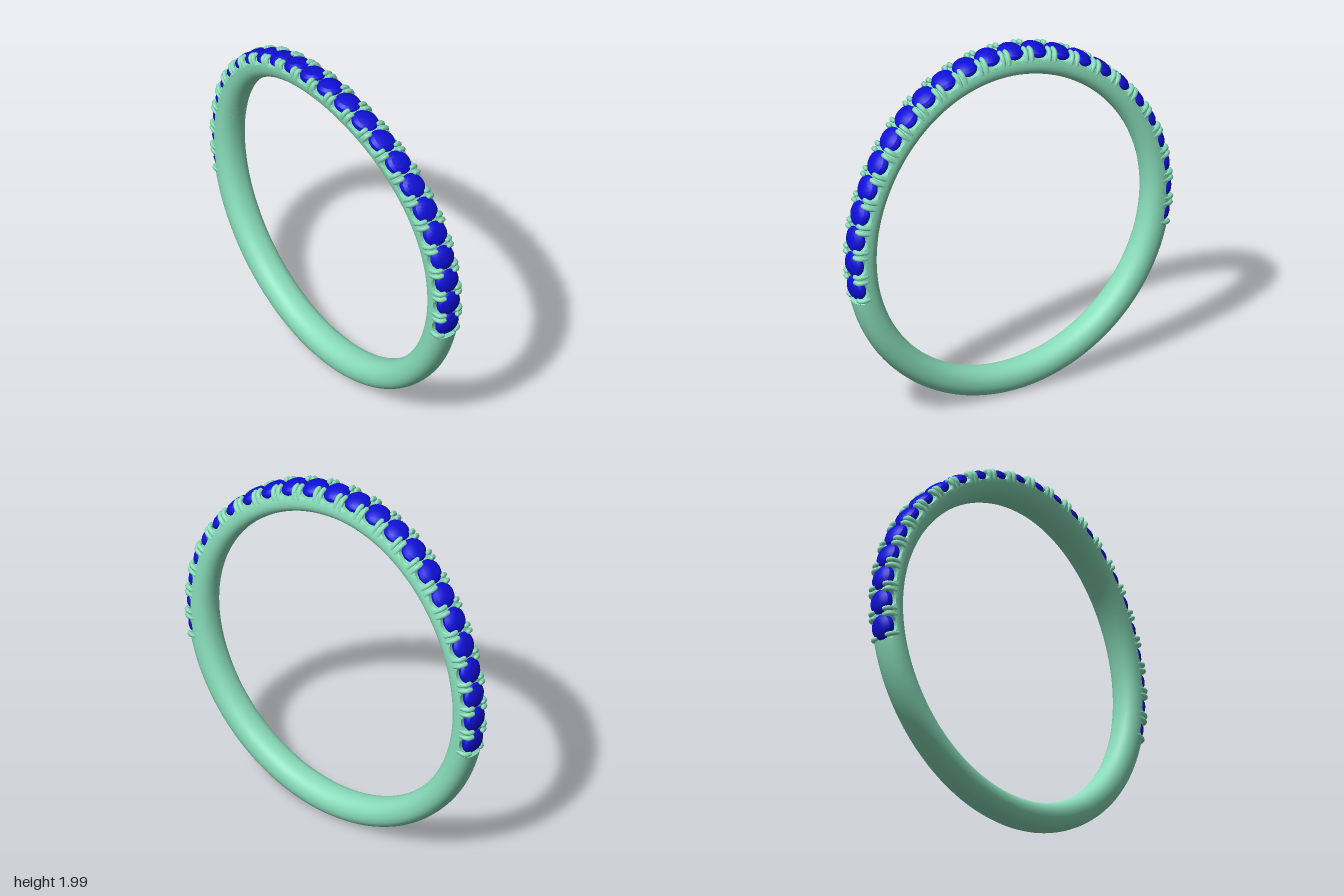
import * as THREE from 'three';
import { mergeGeometries, mergeVertices, toCreasedNormals } from 'three/addons/utils/BufferGeometryUtils.js';

const CENTRE_Y = 1.003;
const STEP = THREE.MathUtils.degToRad(8.62); // angle between stones
const STONES = 24;
const END = STEP * STONES / 2; // half angle of the set arc, from the top
const MID_R = 0.9175, HALF_R = 0.0795, HALF_W = 0.087;

// Sweeps the upper part of the ring gently forward
function bend(geometry) {
  geometry.deleteAttribute('uv');
  geometry.deleteAttribute('normal');
  const g = mergeVertices(geometry, 1e-5);
  const p = g.attributes.position;
  for (let i = 0; i < p.count; i++) {
    const t = Math.max(0, (p.getY(i) - 0.7) / 1.3);
    p.setZ(i, p.getZ(i) - 0.051 + 0.11 * t ** 3);
  }
  g.computeVertexNormals();
  return g;
}

// Moves geometry modelled at the top of the ring (y = radius) round to an angle
function around(geometry, angle) {
  return geometry.clone().rotateZ(-angle).translate(0, CENTRE_Y, 0);
}

// Height limit of the band: scalloped seats under the stones, full elsewhere
function bandLimit(angle) {
  if (Math.abs(angle) > END + 1e-6) return 2;
  const cell = (angle + END) / STEP;
  const d = (cell - Math.floor(cell) - 0.5) * STEP / 0.05;
  return 0.968 - 0.033 * Math.sqrt(Math.max(0, 1 - d * d * 0.97));
}

function bandGeometry() {
  const angles = [];
  const setSteps = STONES * 16, plainSteps = 100, sides = 32;
  for (let i = 0; i <= setSteps; i++) angles.push(-END + 2 * END * i / setSteps);
  const from = END + 0.006, to = 2 * Math.PI - END - 0.006;
  for (let i = 0; i <= plainSteps; i++) angles.push(from + (to - from) * i / plainSteps);
  const soft = v => Math.sign(v) * Math.abs(v) ** 0.9;
  const position = [], index = [];
  angles.forEach((angle, i) => {
    const limit = bandLimit(angle);
    const next = (i + 1) % angles.length;
    for (let j = 0; j < sides; j++) {
      const a = j / sides * Math.PI * 2;
      const r = Math.min(limit, MID_R + HALF_R * soft(Math.cos(a)));
      position.push(Math.sin(angle) * r, CENTRE_Y + Math.cos(angle) * r, HALF_W * soft(Math.sin(a)));
      const k = (j + 1) % sides;
      const A = i * sides + j, B = i * sides + k, C = next * sides + j, D = next * sides + k;
      index.push(A, B, C, B, D, C);
    }
  });
  const g = new THREE.BufferGeometry();
  g.setAttribute('position', new THREE.Float32BufferAttribute(position, 3));
  g.setIndex(index);
  return g;
}

// Domed round stone, revolved about the radial direction
function stoneGeometry() {
  const profile = [[0, 0.9], [0.05, 0.92], [0.072, 0.948], [0.0735, 0.96], [0.066, 0.977], [0.045, 0.992], [0.02, 0.997], [0, 0.997]];
  return new THREE.LatheGeometry(profile.map(([x, y]) => new THREE.Vector2(x, y)), 16);
}

// Claw curling from the side of the band over the edge of a stone
function prongGeometry(offset, side) {
  const points = [[0.93, 0.076], [0.962, 0.074], [0.98, 0.062], [0.983, 0.044]]
    .map(([y, z]) => new THREE.Vector3(offset, y, z * side));
  const radius = 0.0135;
  const parts = [new THREE.TubeGeometry(new THREE.CatmullRomCurve3(points), 8, radius, 8)];
  for (const p of [points[0], points[3]]) {
    parts.push(new THREE.SphereGeometry(radius, 8, 6).translate(p.x, p.y, p.z));
  }
  return mergeGeometries(parts);
}

export function createModel() {
  const group = new THREE.Group();
  const metal = new THREE.MeshStandardMaterial({ color: 0x88dcb9 });
  const gem = new THREE.MeshStandardMaterial({ color: 0x0f0fd8 });
  const add = (name, geometry, material) => {
    const mesh = new THREE.Mesh(geometry, material);
    mesh.name = name;
    group.add(mesh);
  };

  add('band', toCreasedNormals(bend(bandGeometry()), 0.7), metal);

  // Row of stones over the top of the ring
  const stone = stoneGeometry();
  for (let i = 0; i < STONES; i++) {
    const g = bend(around(stone, (i + 0.5) * STEP - END));
    add('stone', toCreasedNormals(g, 0.45), gem);
  }

  // Two prongs on each side of every gap, a single one at the row's ends
  for (const side of [-1, 1]) {
    for (const offset of [-0.017, 0.017]) {
      const prong = prongGeometry(offset, side);
      const set = [];
      for (let i = 0; i <= STONES; i++) {
        if ((i === 0 && offset < 0) || (i === STONES && offset > 0)) continue;
        set.push(around(prong, i * STEP - END));
      }
      add('prongs', bend(mergeGeometries(set)), metal);
    }
  }
  return group;
}
